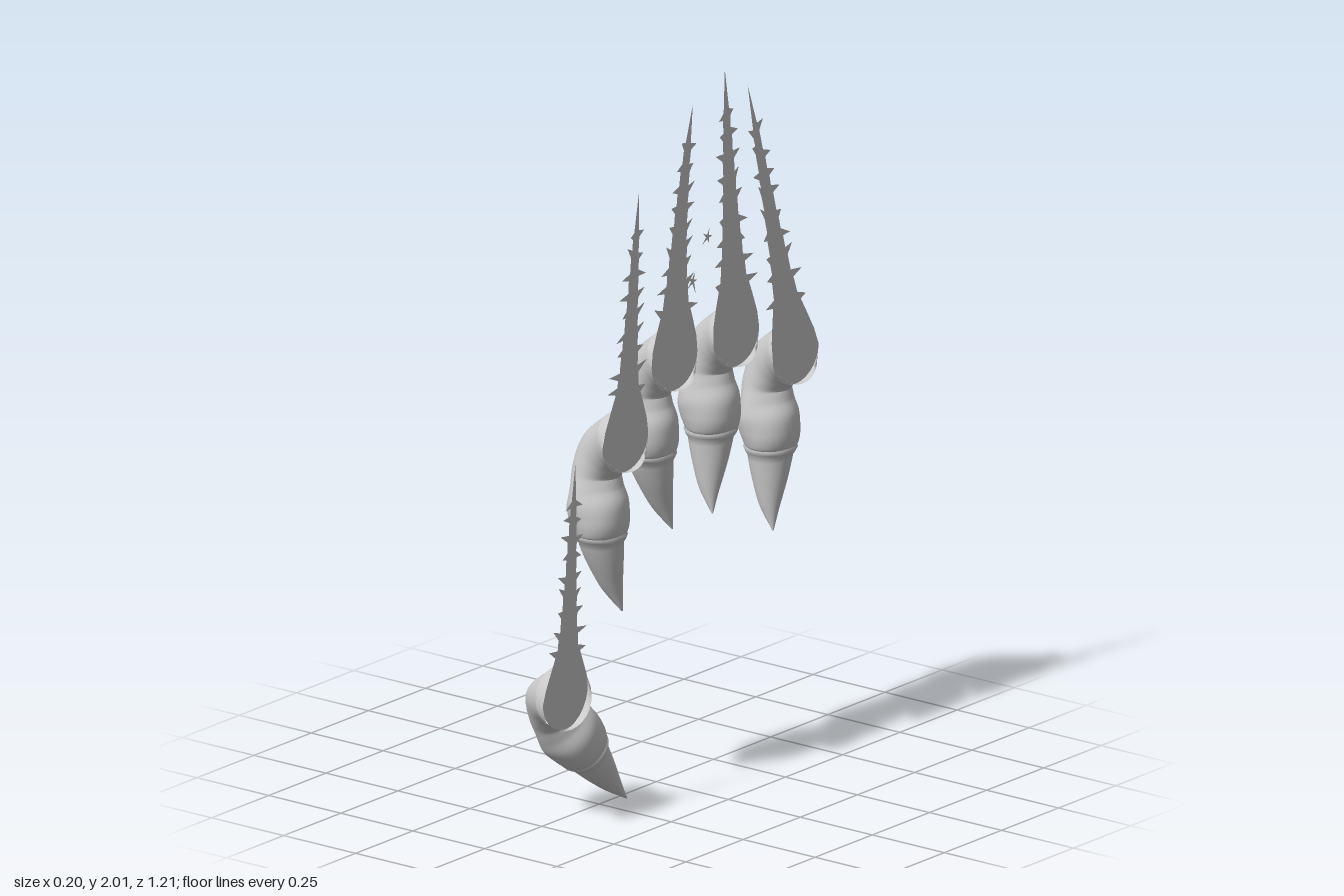
import * as THREE from 'three';

const WALL = 0.087; // plane the fingers break out of

const skin = new THREE.MeshStandardMaterial({ color: 0xcccccc });
const sheet = new THREE.MeshStandardMaterial({ color: 0xcccccc, side: THREE.DoubleSide });

// Stations: x, y, radius in the bending plane, radius sideways, sideways lean
const FLESH = [
  [WALL, 0, 0.09, 0.1], [0.04, -0.025, 0.076, 0.076], [0.006, -0.06, 0.074, 0.066],
  [-0.014, -0.105, 0.068, 0.068], [-0.012, -0.15, 0.07, 0.08], [-0.005, -0.2, 0.082, 0.091],
  [0, -0.245, 0.08, 0.086], [0, -0.28, 0.071, 0.074], [0, -0.288, 0.045, 0.045],
];
const NAIL = [
  [0, -0.255, 0.064, 0.062, 0], [0, -0.3, 0.064, 0.062, 0.05], [0.003, -0.36, 0.054, 0.05, 0.25],
  [0.01, -0.44, 0.033, 0.029, 0.62], [0.028, -0.515, 0.002, 0.002, 1],
];

// Sweeps an elliptical ring along the stations; wobble makes the skin uneven
function sweep(stations, steps, lean = 0, wobble = 0) {
  const path = new THREE.CatmullRomCurve3(stations.map(s => new THREE.Vector3(s[0], s[1], (s[4] || 0) * lean)));
  const radii = new THREE.CatmullRomCurve3(stations.map(s => new THREE.Vector3(s[2], s[3], 0)));
  const sides = 28, pos = [], index = [];
  for (let i = 0; i <= steps; i++) {
    const t = i / steps, c = path.getPoint(t), r = radii.getPoint(t);
    const d = i === 0 && wobble ? new THREE.Vector3(-1, 0, 0) : path.getTangent(t);
    const len = Math.hypot(d.x, d.y), nx = d.y / len, ny = -d.x / len;
    for (let j = 0; j < sides; j++) {
      const a = j / sides * Math.PI * 2;
      const k = 1 + wobble * Math.sin(3 * a + 9 * t) * Math.sin(Math.PI * t);
      const u = r.x * k * Math.cos(a);
      pos.push(c.x + nx * u, c.y + ny * u, c.z + r.y * k * Math.sin(a));
      if (i < steps) {
        const p = i * sides + j, q = i * sides + (j + 1) % sides;
        index.push(p, p + sides, q, q, p + sides, q + sides);
      }
    }
  }
  const g = new THREE.BufferGeometry();
  g.setAttribute('position', new THREE.Float32BufferAttribute(pos, 3));
  g.setIndex(index);
  g.computeVertexNormals();
  return g;
}

function seeded(seed) {
  return () => (seed = (seed * 16807) % 2147483647) / 2147483647;
}

// Half width of the tear along its height
const TEAR = [[0, 0.1], [0.06, 0.094], [0.13, 0.077], [0.2, 0.058], [0.3, 0.045], [0.5, 0.031], [0.7, 0.022], [0.85, 0.014], [1, 0]];
function halfWidth(t) {
  const i = Math.max(1, TEAR.findIndex(p => p[0] >= t));
  const [a, b] = [TEAR[i - 1], TEAR[i]];
  return THREE.MathUtils.lerp(a[1], b[1], (t - a[0]) / (b[0] - a[0]));
}

// Thorny flat tear: rounded foot, tapering up to a point
function tearGeometry({ y, z, tipY, tipZ, bend, slim, seed }) {
  const rnd = seeded(seed), h = tipY - y;
  const edge = (t, side, out = 0) => {
    const w = halfWidth(t) * THREE.MathUtils.lerp(1, slim, Math.min(1, t * 5));
    const mid = z + (tipZ - z) * Math.pow(t, bend);
    return new THREE.Vector2(-mid + side * (w + out), y + h * t);
  };
  const outline = side => {
    const pts = [0, 0.06, 0.13].map(t => edge(t, side));
    for (let k = 0; k < 9; k++) {
      const t = 0.18 + k * 0.078 + rnd() * 0.025;
      const spike = edge(t + 0.012, side, (0.014 + 0.03 * rnd()) * (1.1 - 0.5 * t));
      spike.y += (rnd() - 0.3) * 0.035;
      pts.push(edge(t, side), spike, edge(t + 0.028, side, -0.003));
    }
    return pts;
  };
  const foot = [];
  for (let i = 1; i < 20; i++) {
    const a = Math.PI + i / 20 * Math.PI;
    foot.push(new THREE.Vector2(-z + 0.1 * Math.cos(a), y + 0.09 * Math.sin(a)));
  }
  const pts = [...foot, ...outline(1), new THREE.Vector2(-tipZ, tipY), ...outline(-1).reverse()];
  return new THREE.ShapeGeometry(new THREE.Shape(pts)).rotateY(Math.PI / 2).translate(WALL, 0, 0);
}

// Small loose star-shaped chip beside the tears
function chipGeometry(y, z, size, seed) {
  const rnd = seeded(seed), pts = [];
  for (let i = 0; i < 10; i++) {
    const a = i / 10 * Math.PI * 2, r = i % 2 ? size * 0.2 : size * (0.6 + 0.6 * rnd());
    pts.push(new THREE.Vector2(-z + r * Math.cos(a), y + r * Math.sin(a)));
  }
  return new THREE.ShapeGeometry(new THREE.Shape(pts)).rotateY(Math.PI / 2).translate(WALL, 0, 0);
}

const FINGERS = [
  { name: 'thumb', y: 0.382, z: 0.505, tipY: 1.04, tipZ: 0.463, bend: 1, slim: 0.85, lean: 0, turn: 0.72, seed: 11 },
  { name: 'indexFinger', y: 1.05, z: 0.245, tipY: 1.74, tipZ: 0.186, bend: 1.1, slim: 0.9, lean: -0.06, turn: 0, seed: 223 },
  { name: 'middleFinger', y: 1.228, z: 0.03, tipY: 1.935, tipZ: -0.05, bend: 1.8, slim: 1.05, lean: -0.065, turn: 0, seed: 3571 },
  { name: 'ringFinger', y: 1.228, z: -0.24, tipY: 2, tipZ: -0.19, bend: 0.9, slim: 1.05, lean: 0.03, turn: 0, seed: 4409 },
  { name: 'littleFinger', y: 1.112, z: -0.5, tipY: 1.93, tipZ: -0.29, bend: 1, slim: 0.95, lean: 0.025, turn: 0, seed: 5903 },
];

export function createModel() {
  const model = new THREE.Group();
  model.name = 'clawHand';
  const add = (parent, name, geometry, material) => {
    const mesh = new THREE.Mesh(geometry, material);
    mesh.name = name;
    parent.add(mesh);
  };
  for (const f of FINGERS) {
    const finger = new THREE.Group();
    finger.name = f.name;
    finger.position.set(0, f.y, f.z);
    finger.rotation.x = f.turn;
    add(finger, 'flesh', sweep(FLESH, 40, 0, 0.035), skin);
    add(finger, 'claw', sweep(NAIL, 18, f.lean), skin);
    model.add(finger);
    add(model, f.name + 'Tear', tearGeometry(f), sheet);
  }
  add(model, 'looseChip', chipGeometry(1.54, -0.115, 0.035, 77), sheet);
  add(model, 'looseChip', chipGeometry(1.43, -0.05, 0.035, 991), sheet);
  return model;
}
